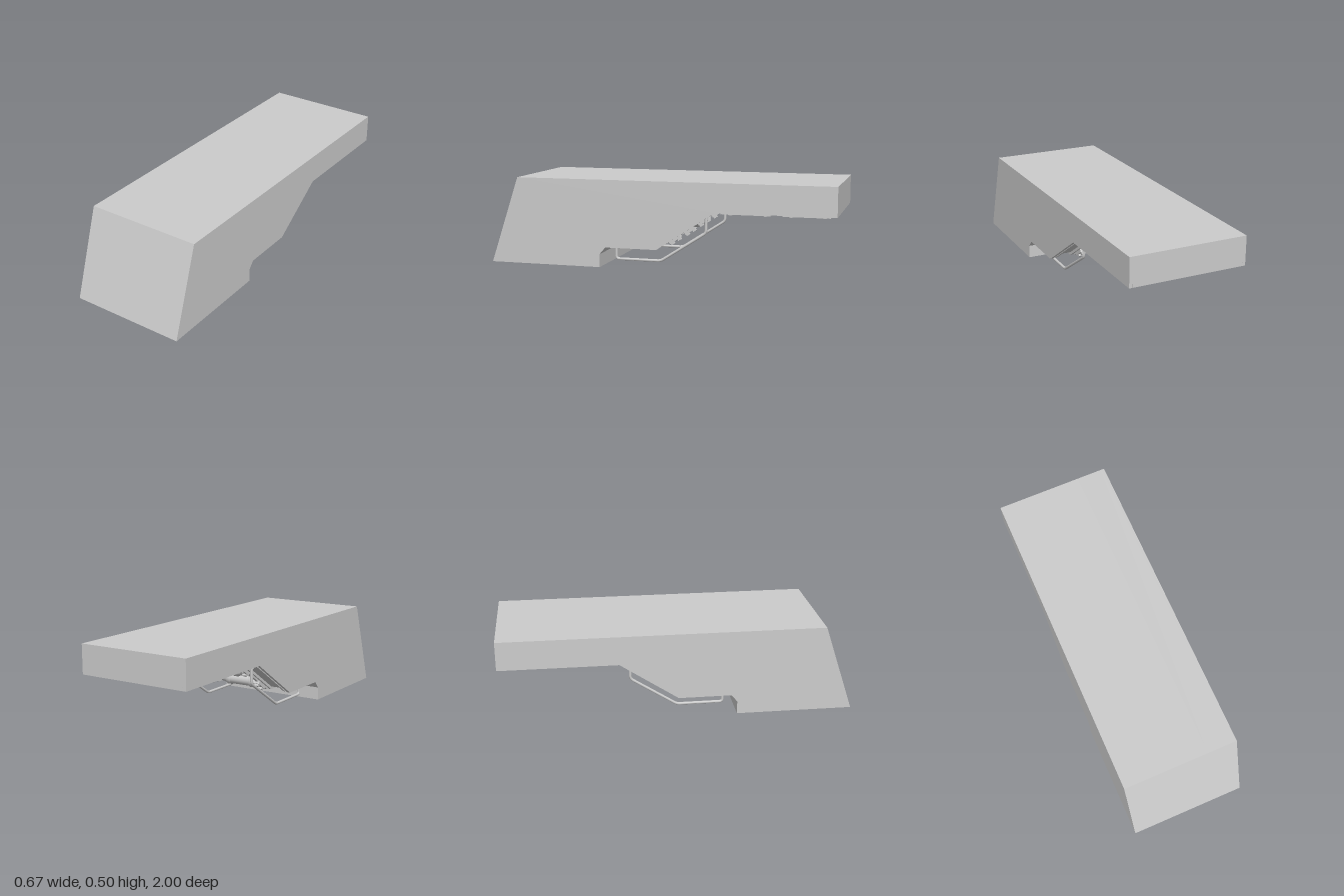
import * as THREE from 'three';

const mat = new THREE.MeshStandardMaterial({ color: 0xcccccc, flatShading: true });
const smooth = new THREE.MeshStandardMaterial({ color: 0xcccccc });
const HALF = 0.333;
const SLOPE = Math.atan2(0.22, 0.33);

export function createModel() {
  const model = new THREE.Group();

  function add(name, geometry, x = 0, y = 0, z = 0, material = mat) {
    const mesh = new THREE.Mesh(geometry, material);
    mesh.name = name;
    mesh.position.set(x, y, z);
    model.add(mesh);
    return mesh;
  }
  const box = (name, w, h, d, x, y, z) => add(name, new THREE.BoxGeometry(w, h, d), x, y, z);

  // Extrudes a [z, y] outline from x0 to x1
  function slab(name, x0, x1, points) {
    const shape = new THREE.Shape(points.map(([z, y]) => new THREE.Vector2(z, y)));
    const geometry = new THREE.ExtrudeGeometry(shape, { depth: x1 - x0, bevelEnabled: false });
    geometry.rotateY(-Math.PI / 2);
    return add(name, geometry, x1);
  }

  // Ribbon of given thickness above a [z, y] path
  function ribbon(name, x0, x1, path, t) {
    const upper = path.map(([z, y]) => [z, y + t]).reverse();
    return slab(name, x0, x1, [...path, ...upper]);
  }

  // Body outline; the underside between the rims is sunk by r
  const top = [[0.335, 0], [1, 0], [0.833, 0.5], [-1, 0.5]];
  const nose = [[0.3, 0.115], [0.335, 0.075]];
  const body = (r) => [...top, [-1, 0.335 + r], [-0.33, 0.335 + r], [0, 0.115 + r], [0.3, 0.115 + r], ...nose];
  const rim = [...top, [-1, 0.335], [-0.33, 0.335], [0, 0.115], ...nose];
  const cavity = [...top, [-1, 0.355], [-0.36, 0.355], [-0.27, 0.4], [0.02, 0.215], [0.18, 0.19], [0.28, 0.115], ...nose];

  slab('bodyCentre', -0.16, 0.16, cavity);
  box('rearLip', 2 * HALF - 0.04, 0.02, 0.02, 0, 0.345, -0.99);
  box('middleLip', 2 * HALF - 0.04, 0.02, 0.02, 0, 0.345, -0.665);
  box('cavityRearLip', 0.34, 0.02, 0.03, 0, 0.345, -0.335);
  box('frontSeam', 0.006, 0.002, 0.02, 0, 0.115, 0.29);

  // Left and right halves of the body, channels and rails
  for (const s of [1, -1]) {
    const span = (a, b) => (s > 0 ? [a, b] : [-b, -a]);
    slab('bodyRim', ...span(0.315, HALF), rim);
    slab('bodySide', ...span(0.16, 0.315), body(0.02));
    ribbon('channelLip', ...span(0.16, 0.178), [[-0.33, 0.335], [0, 0.115], [0.3, 0.115]], 0.022);
    for (const [a, b] of [[0.195, 0.207], [0.288, 0.3]]) {
      ribbon('trayEdge', ...span(a, b), [[-0.3, 0.318], [0, 0.118], [0.28, 0.118]], 0.02);
    }
    box('trayFrontEdge', 0.105, 0.02, 0.012, s * 0.2475, 0.127, 0.285);
    box('trayRearEdge', 0.105, 0.02, 0.014, s * 0.2475, 0.326, -0.295).rotation.x = SLOPE;

    // Handrail with rounded corners
    const corners = [[0.265, 0.13], [0.265, 0.037], [0, 0.037], [-0.264, 0.208], [-0.264, 0.3]]
      .map(([z, y]) => new THREE.Vector3(s * 0.24, y, z));
    const path = new THREE.CurvePath();
    let from = corners[0];
    for (let i = 1; i < corners.length - 1; i++) {
      const c = corners[i];
      const a = c.clone().add(corners[i - 1].clone().sub(c).setLength(0.018));
      const b = c.clone().add(corners[i + 1].clone().sub(c).setLength(0.018));
      path.add(new THREE.LineCurve3(from, a));
      path.add(new THREE.QuadraticBezierCurve3(a, c, b));
      from = b;
    }
    path.add(new THREE.LineCurve3(from, corners[4]));
    add('handrail', new THREE.TubeGeometry(path, 90, 0.008, 10), 0, 0, 0, smooth);
    for (const [z, y] of [[0.265, 0.129], [-0.264, 0.304]]) {
      add('railFoot', new THREE.CylinderGeometry(0.014, 0.014, 0.014, 12), s * 0.24, y, z);
    }

    // Clips beside the cylinders
    for (const [z, y] of [[-0.065, 0.155], [-0.235, 0.268]]) {
      box('clipPlate', 0.035, 0.02, 0.075, s * 0.168, y, z).rotation.x = SLOPE;
      for (const k of [-0.02, 0.02]) {
        const knob = box('clipKnob', 0.022, 0.012, 0.02, s * 0.168, y - 0.013 - k * 0.66, z - 0.007 + k);
        knob.rotation.x = SLOPE;
      }
    }
  }

  // Framed hatches under the rear deck
  for (const [z0, z1] of [[-0.96, -0.7], [-0.635, -0.365]]) {
    const w = 0.285, d = (z1 - z0) / 2, zc = (z0 + z1) / 2;
    const rect = (C, x, z) => new C([[-x, -z], [x, -z], [x, z], [-x, z]].map((p) => new THREE.Vector2(...p)));
    const frame = rect(THREE.Shape, w, d);
    frame.holes.push(rect(THREE.Path, w - 0.016, d - 0.016));
    const geometry = new THREE.ExtrudeGeometry(frame, { depth: 0.035, bevelEnabled: false });
    geometry.rotateX(Math.PI / 2);
    add('hatchFrame', geometry, 0, 0.358, zc);
    box('hatchPanel', 2 * w - 0.03, 0.024, 2 * d - 0.03, 0, 0.346, zc);
    for (const x of [-0.245, 0.245]) {
      for (const z of [zc - d + 0.038, zc + d - 0.038]) {
        add('hatchBolt', new THREE.CylinderGeometry(0.015, 0.012, 0.025, 16), x, 0.328, z);
      }
    }
  }

  // Cross-mounted cylinders in the cavity
  const profile = [[0, -0.15], [0.012, -0.147], [0.02, -0.135], [0.03, -0.09], [0.03, -0.085], [0.036, -0.085],
    [0.036, -0.06], [0.031, -0.06], [0.031, 0.07], [0.036, 0.07], [0.036, 0.095], [0.03, 0.1],
    [0.025, 0.128], [0.014, 0.144], [0, 0.15]].map((p) => new THREE.Vector2(...p));
  for (const [z, y] of [[0, 0.15], [-0.17, 0.25]]) {
    const cylinder = add('cylinder', new THREE.LatheGeometry(profile, 24), 0, y, z, smooth);
    cylinder.rotation.z = Math.PI / 2;
    for (const x of [-0.075, 0.075]) box('cylinderMount', 0.02, 0.08, 0.04, x, y + 0.06, z);
  }

  return model;
}
